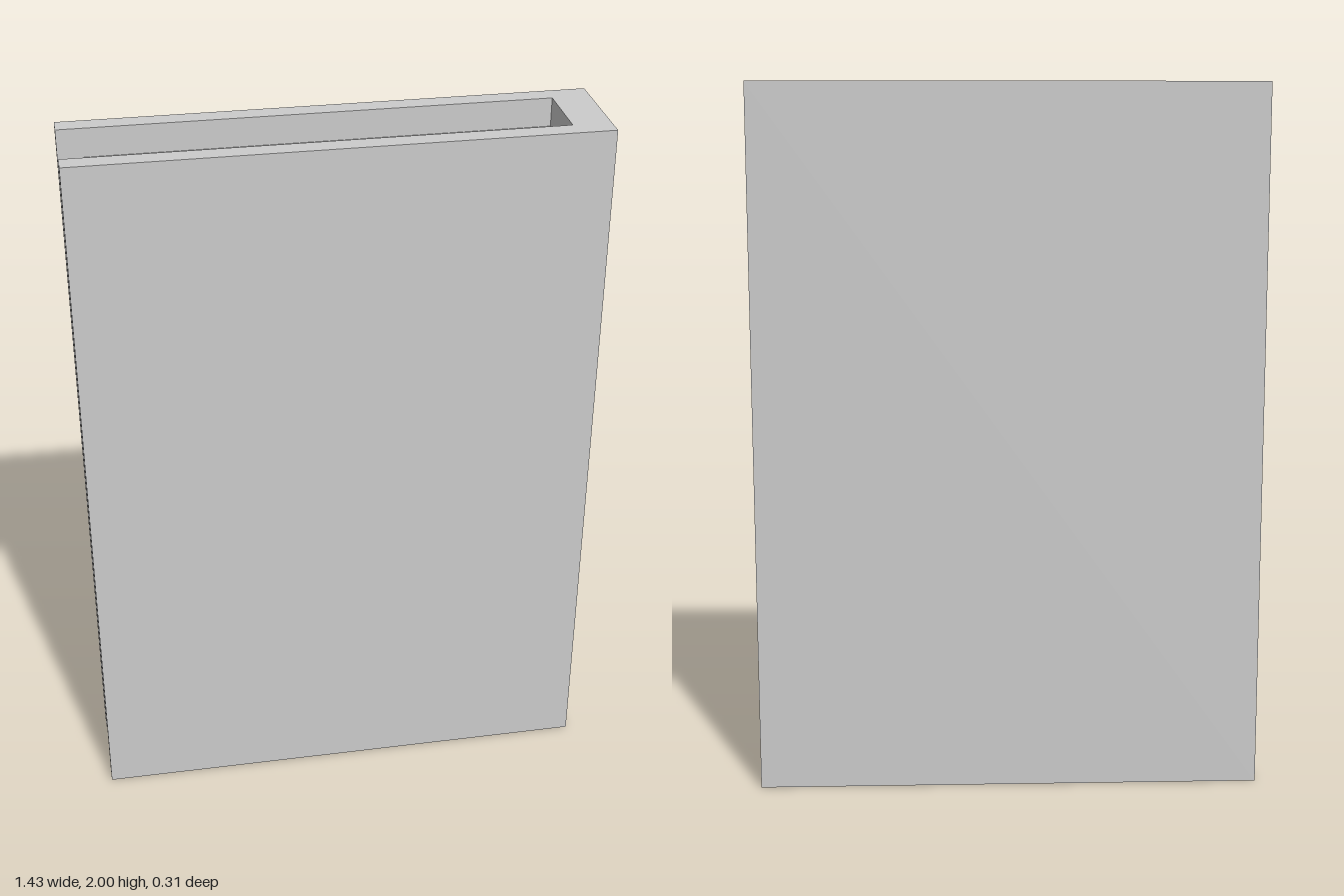
import * as THREE from 'three';

export function createModel() {
  const model = new THREE.Group();
  model.name = 'book';
  const material = new THREE.MeshStandardMaterial({ color: 0xcccccc, flatShading: true });

  const W = 0.715, D = 0.153;        // half width and half depth of the cover
  const spineX = 0.61, boardZ = 0.098; // inner faces of spine and boards

  // Cover: a U-shaped section (two boards and a spine) extruded upwards
  const section = new THREE.Shape([
    [-W, -D], [W, -D], [W, D], [-W, D],
    [-W, boardZ], [spineX, boardZ], [spineX, -boardZ], [-W, -boardZ],
  ].map(([x, z]) => new THREE.Vector2(x, z)));
  const coverGeometry = new THREE.ExtrudeGeometry(section, { depth: 2, bevelEnabled: false });
  coverGeometry.rotateX(-Math.PI / 2);
  const cover = new THREE.Mesh(coverGeometry, material);
  cover.name = 'cover';
  model.add(cover);

  // Page block: set back from the top, bottom and open edge
  const left = -0.648, inset = 0.08;
  const pages = new THREE.Mesh(
    new THREE.BoxGeometry(spineX - left, 2 - 2 * inset, 2 * boardZ), material);
  pages.position.set((spineX + left) / 2, 1, 0);
  pages.name = 'pageBlock';
  model.add(pages);

  return model;
}
